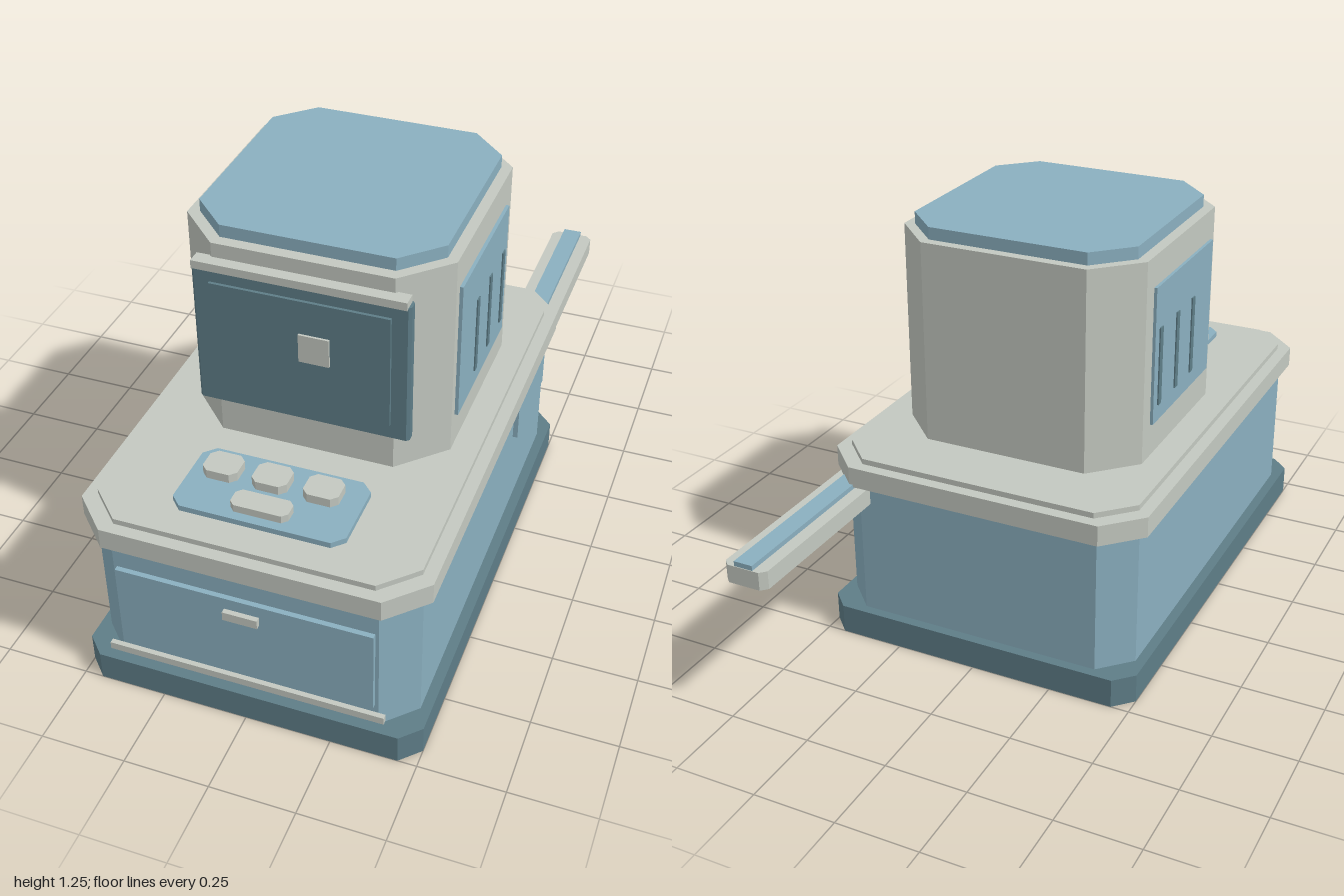
import * as THREE from 'three';

const paint = (name, color) => {
  const m = new THREE.MeshStandardMaterial({ color });
  m.name = name;
  return m;
};

export function createModel() {
  const model = new THREE.Group();
  model.name = 'consoleMachine';
  const grey = paint('warmGrey', 0xc3c8c0);
  const blue = paint('paleBlue', 0x8aafbf);
  const dark = paint('darkTeal', 0x5e7d87);

  const add = (name, geometry, material) => {
    const mesh = new THREE.Mesh(geometry, material);
    mesh.name = name;
    model.add(mesh);
    return mesh;
  };

  // Plain block given by its limits on each axis
  const block = (name, material, [x0, x1], [y0, y1], [z0, z1]) =>
    add(name, new THREE.BoxGeometry(x1 - x0, y1 - y0, z1 - z0), material)
      .position.set((x0 + x1) / 2, (y0 + y1) / 2, (z0 + z1) / 2);

  // Upright block whose four vertical edges are cut by c
  const prism = (name, material, [x0, x1], [y0, y1], [z0, z1], c) => {
    const outline = [
      [x0 + c, z1], [x1 - c, z1], [x1, z1 - c], [x1, z0 + c],
      [x1 - c, z0], [x0 + c, z0], [x0, z0 + c], [x0, z1 - c],
    ].map(([x, z]) => new THREE.Vector2(x, -z));
    const g = new THREE.ExtrudeGeometry(new THREE.Shape(outline), { depth: y1 - y0, bevelEnabled: false });
    g.rotateX(-Math.PI / 2);
    g.translate(0, y0, 0);
    add(name, g, material);
  };

  // Cabinet
  prism('plinth', dark, [-0.5, 0.5], [0, 0.09], [-0.5, 1], 0.055);
  prism('cabinet', blue, [-0.47, 0.47], [0.09, 0.52], [-0.47, 0.97], 0.09);
  prism('worktop', grey, [-0.5, 0.5], [0.517, 0.58], [-0.5, 1], 0.105);
  prism('worktopStep', grey, [-0.463, 0.463], [0.58, 0.597], [-0.465, 0.965], 0.095);

  // Drawer on the front
  block('drawer', blue, [-0.37, 0.37], [0.165, 0.43], [0.96, 0.985]);
  block('drawerHandle', grey, [-0.05, 0.05], [0.365, 0.393], [0.985, 1]);
  block('frontRail', grey, [-0.405, 0.405], [0.13, 0.153], [0.985, 1]);

  // Tower with cap
  prism('tower', grey, [-0.377, 0.386], [0.597, 1.215], [-0.27, 0.515], 0.126);
  prism('towerCap', blue, [-0.345, 0.355], [1.215, 1.252], [-0.24, 0.48], 0.105);

  // Vented panels on both sides of the tower
  for (const side of [-1, 1]) {
    const span = (a, b) => [0.005 + side * a, 0.005 + side * b].sort((p, q) => p - q);
    block('sidePanel', blue, span(0.37, 0.391), [0.7, 1.122], [-0.09, 0.36]);
    for (const z of [0.205, 0.08, -0.05]) {
      block('ventSlot', dark, span(0.385, 0.395), [0.752, 0.992], [z - 0.011, z + 0.011]);
    }
  }

  // Display
  prism('displayFrame', dark, [-0.302, 0.312], [0.72, 1.15], [0.503, 0.54], 0.008);
  block('displayScreen', dark, [-0.25, 0.26], [0.765, 1.11], [0.535, 0.549]);
  block('displayIcon', grey, [0.005, 0.092], [0.922, 1.008], [0.547, 0.556]);
  block('displayHood', grey, [-0.296, 0.304], [1.148, 1.172], [0.508, 0.55]);

  // Control pad with buttons
  prism('controlPad', blue, [-0.25, 0.245], [0.595, 0.614], [0.622, 0.875], 0.032);
  for (const x of [-0.162, -0.018, 0.13]) {
    prism('button', grey, [x - 0.051, x + 0.051], [0.613, 0.641], [0.66, 0.747], 0.018);
  }
  prism('wideButton', grey, [-0.086, 0.08], [0.613, 0.637], [0.782, 0.848], 0.015);

  // Outfeed arm at the back
  block('armBracket', blue, [0.44, 0.485], [0.357, 0.518], [-0.325, -0.015]);
  prism('arm', grey, [0.345, 0.48], [0.455, 0.51], [-1, -0.315], 0.018);
  block('armBelt', blue, [0.383, 0.441], [0.508, 0.525], [-0.998, -0.45]);

  return model;
}
